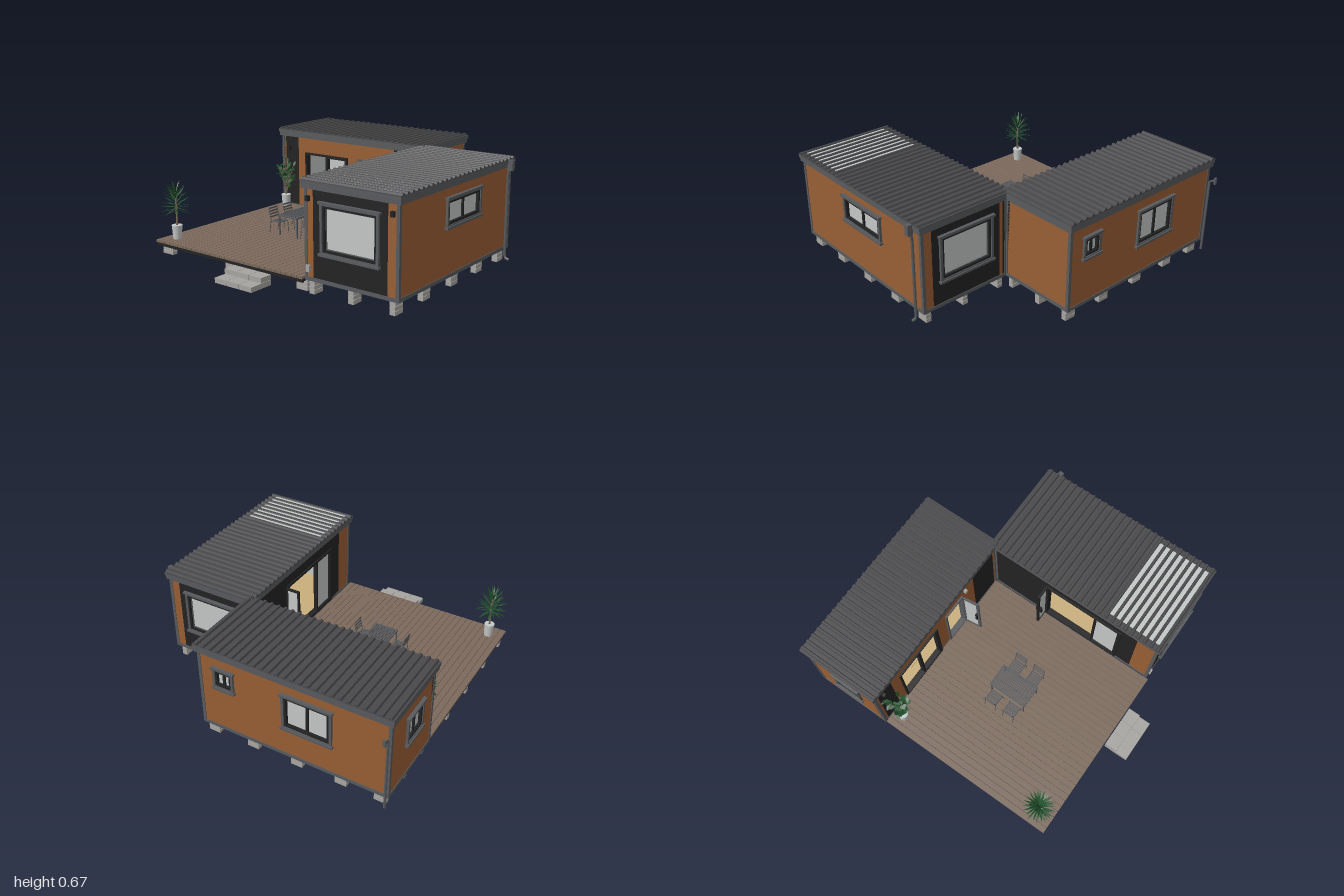
import * as THREE from 'three';

const mat = (name, color, side = THREE.FrontSide) => {
  const m = new THREE.MeshStandardMaterial({ color, side });
  m.name = name;
  return m;
};
const M = {
  cladding: mat('cladding', 0x985e34),
  black: mat('black', 0x232323),
  roof: mat('roofSheet', 0x49494b),
  trim: mat('trim', 0x585a5d),
  light: mat('lightPane', 0xc3c7c5),
  deck: mat('deckWood', 0x7b695b),
  concrete: mat('concrete', 0xa6a4a0),
  green: mat('leaf', 0x21502a, THREE.DoubleSide),
  beige: mat('floor', 0xc9ae7c),
};

function add(parent, name, geo, material, x = 0, y = 0, z = 0) {
  const mesh = new THREE.Mesh(geo, material);
  mesh.name = name;
  mesh.position.set(x, y, z);
  parent.add(mesh);
  return mesh;
}
// Box given by its minimum and maximum on each axis
const box = (p, name, m, x0, x1, y0, y1, z0, z1) =>
  add(p, name, new THREE.BoxGeometry(x1 - x0, y1 - y0, z1 - z0), m, (x0 + x1) / 2, (y0 + y1) / 2, (z0 + z1) / 2);
const group = (p, name, x = 0, y = 0, z = 0, ry = 0) => {
  const g = new THREE.Group();
  g.name = name;
  g.position.set(x, y, z);
  g.rotation.y = ry;
  p.add(g);
  return g;
};
const rect = (C, a, b, c, d) => {
  const s = new C();
  s.moveTo(a, c); s.lineTo(b, c); s.lineTo(b, d); s.lineTo(a, d); s.closePath();
  return s;
};
// Rectangular panel with rectangular holes, between z0 and z1
function panel(p, name, m, [a, b, c, d], holes, z0, z1) {
  const s = rect(THREE.Shape, a, b, c, d);
  holes.forEach(h => s.holes.push(rect(THREE.Path, ...h)));
  return add(p, name, new THREE.ExtrudeGeometry(s, { depth: z1 - z0, bevelEnabled: false }), m, 0, 0, z0);
}
const ring = (p, name, m, [a, b, c, d], t, z0, z1) =>
  panel(p, name, m, [a, b, c, d], [[a + t, b - t, c + t, d - t]], z0, z1);
function tube(p, name, m, pts, r) {
  const path = new THREE.CurvePath();
  const v = pts.map(q => new THREE.Vector3(...q));
  for (let i = 1; i < v.length; i++) path.add(new THREE.LineCurve3(v[i - 1], v[i]));
  return add(p, name, new THREE.TubeGeometry(path, 24, r, 8), m);
}

const Y0 = 0.09, Y1 = 0.61;
// Wall with local x along it and +z outwards; segments are [from, to, material, holes]
function wall(p, name, x, z, ry, segments) {
  const g = group(p, name, x, 0, z, ry);
  segments.forEach(([a, b, m, holes = []]) => panel(g, 'wallPanel', m, [a, b, Y0, Y1], holes, -0.03, 0));
  return g;
}
function windowUnit(p, [a, b, c, d], panes = 1) {
  const g = group(p, 'window');
  ring(g, 'outerTrim', M.trim, [a, b, c, d], 0.016, -0.03, 0.014);
  ring(g, 'innerFrame', M.black, [a + 0.015, b - 0.015, c + 0.015, d - 0.015], 0.015, -0.028, 0.008);
  box(g, 'sill', M.trim, a - 0.008, b + 0.008, c - 0.006, c + 0.008, -0.005, 0.022);
  box(g, 'head', M.trim, a - 0.008, b + 0.008, d - 0.008, d + 0.006, -0.005, 0.022);
  box(g, 'pane', M.light, a + 0.025, b - 0.025, c + 0.025, d - 0.025, -0.018, -0.01);
  if (panes === 1) ring(g, 'paneBead', M.trim, [a + 0.03, b - 0.03, c + 0.03, d - 0.03], 0.005, -0.012, -0.004);
  for (let i = 1; i < panes; i++) {
    const u = a + ((b - a) * i) / panes;
    box(g, 'mullion', M.black, u - 0.008, u + 0.008, c + 0.02, d - 0.02, -0.02, 0);
  }
}
const lamp = (p, u, y) => box(p, 'wallLamp', M.black, u - 0.01, u + 0.01, y - 0.015, y + 0.015, 0, 0.02);

// Corrugated sheet: ribs run along local z, repeat along local x
function corrugated(p, name, length, width, n) {
  const s = new THREE.Shape(), q = length / n;
  s.moveTo(0, 0);
  for (let i = 0; i < n; i++) {
    const u = i * q;
    [[0, 0.005], [0.25, 0.005], [0.36, 0.017], [0.64, 0.017], [0.75, 0.005], [1, 0.005]]
      .forEach(([f, h]) => s.lineTo(u + f * q, h));
  }
  s.lineTo(length, 0);
  const geo = new THREE.ExtrudeGeometry(s, { depth: width, bevelEnabled: false });
  geo.translate(-length / 2, 0, -width / 2);
  return add(p, name, geo, M.roof);
}

// Floor, corner posts, base rail, fascia and ceiling shared by both cabins
function shell(p, x0, x1, z0, z1, under, top) {
  box(p, 'floorUnderside', under, x0, x1, 0.077, 0.088, z0, z1);
  box(p, 'floor', M.beige, x0 + 0.02, x1 - 0.02, 0.088, 0.1, z0 + 0.02, z1 - 0.02);
  const e = 0.004, w = 0.016;
  [[x0, 1], [x1, -1]].forEach(([x, sx]) => [[z0, 1], [z1, -1]].forEach(([z, sz]) => {
    const xs = [x - sx * e, x + sx * w].sort((a, b) => a - b), zs = [z - sz * e, z + sz * w].sort((a, b) => a - b);
    box(p, 'cornerPost', M.trim, ...xs, 0.08, Y1, ...zs);
  }));
  [[x0 - e, x1 + e, z0 - e, z0 + 0.01], [x0 - e, x1 + e, z1 - 0.01, z1 + e],
    [x0 - e, x0 + 0.01, z0, z1], [x1 - 0.01, x1 + e, z0, z1]].forEach(([a, b, c, d]) => box(p, 'baseRail', M.trim, a, b, 0.078, 0.1, c, d));
  box(p, 'fascia', M.trim, x0 - 0.016, x1 + 0.016, 0.605, top - 0.025, z0 - 0.016, z1 + 0.016);
  box(p, 'roofEdge', M.trim, x0 - 0.021, x1 + 0.021, top - 0.036, top - 0.014, z0 - 0.021, z1 + 0.021);
  box(p, 'ceiling', M.light, x0 + 0.03, x1 - 0.03, 0.595, 0.604, z0 + 0.03, z1 - 0.03);
}

function backCabin(root) {
  const g = group(root, 'backCabin'), x0 = -0.94, x1 = 0.29, z0 = -0.93, z1 = -0.41;
  shell(g, x0, x1, z0, z1, M.concrete, 0.669);
  corrugated(g, 'backRoof', 1.272, 0.562, 26).position.set(-0.325, 0.652, -0.67);
  const slider = [-0.72, -0.34, 0.1, 0.5], door = [-0.25, -0.07, 0.1, 0.505];
  const f = wall(g, 'frontWall', 0, z1, 0, [[x0, -0.79, M.black], [-0.79, 0.05, M.cladding, [slider, door]], [0.05, x1, M.black]]);
  ring(f, 'sliderFrame', M.black, slider, 0.014, -0.03, 0.012);
  ring(f, 'slidingLeaf', M.black, [-0.535, -0.345, 0.105, 0.495], 0.018, -0.02, 0.008);
  box(f, 'handle', M.beige, -0.6, -0.545, 0.325, 0.333, -0.03, -0.02);
  ring(f, 'doorFrame', M.trim, door, 0.012, -0.03, 0.012);
  // Door leaf standing open
  const leaf = group(f, 'openDoor', -0.075, 0, 0, -Math.PI / 2 + 0.12);
  ring(leaf, 'leafFrame', M.trim, [0, 0.125, 0.105, 0.495], 0.018, -0.006, 0.006);
  box(leaf, 'leafPane', M.light, 0.015, 0.11, 0.12, 0.48, -0.002, 0.002);
  box(leaf, 'leafHandle', M.black, 0.1, 0.112, 0.26, 0.34, -0.018, 0.018);
  lamp(f, -0.87, 0.52);
  box(f, 'doorLight', M.concrete, -0.05, -0.03, 0.515, 0.545, 0, 0.02);
  const small = [-0.19, -0.05, 0.39, 0.53], large = [0.27, 0.59, 0.29, 0.53], side = [-0.75, -0.55, 0.32, 0.51];
  const b = wall(g, 'rearWall', 0, z0, Math.PI, [[-x1, -x0, M.cladding, [small, large]]]);
  windowUnit(b, small, 2);
  windowUnit(b, large, 2);
  windowUnit(wall(g, 'leftEndWall', x0, 0, -Math.PI / 2, [[z0, z1, M.cladding, [side]]]), side, 2);
  wall(g, 'rightEndWall', x1, 0, Math.PI / 2, [[-z1, -z0, M.cladding]]);
  // Inner lining
  box(g, 'lining', M.light, x0 + 0.03, x1 - 0.03, 0.1, 0.6, z0 + 0.032, z0 + 0.04);
  [x0 + 0.032, x1 - 0.04, -0.3].forEach(x => box(g, 'lining', M.light, x, x + 0.008, 0.1, 0.6, z0 + 0.03, z1 - 0.03));
  tube(g, 'downpipe', M.trim, [[-0.93, 0.53, -0.99], [-0.93, 0.51, -0.95], [-0.93, 0.02, -0.95]], 0.008);
  box(g, 'pipeHead', M.trim, -0.938, -0.922, 0.505, 0.55, -0.998, -0.986);
}

function sideCabin(root) {
  const g = group(root, 'sideCabin'), x0 = 0.29, x1 = 0.91, z0 = -0.41, z1 = 0.81;
  shell(g, x0, x1, z0, z1, M.beige, 0.664);
  const r = corrugated(g, 'sideRoof', 1.262, 0.662, 27);
  r.position.set(0.6, 0.647, 0.2);
  r.rotation.y = Math.PI / 2;
  // Skylight strips in the pans
  const q = 1.262 / 27;
  for (let i = 0; i < 8; i++) {
    const z = 0.831 - q * (i + 1);
    box(r.parent, 'skylightStrip', M.light, 0.31, 0.89, 0.65, 0.656, z - q * 0.29, z + q * 0.29);
  }
  const ends = [0.40, 0.79, 0.245, 0.54];
  const f = wall(g, 'frontWall', 0, z1, 0, [[x0, 0.345, M.cladding], [0.345, 0.84, M.black, [ends]], [0.84, x1, M.cladding]]);
  windowUnit(f, ends);
  lamp(f, 0.315, 0.55);
  lamp(f, 0.875, 0.55);
  box(f, 'socket', M.concrete, 0.3, 0.326, 0.13, 0.17, 0, 0.015);
  const rear = [-0.79, -0.40, 0.245, 0.54];
  windowUnit(wall(g, 'rearWall', 0, z0, Math.PI, [[-x1, -0.84, M.cladding], [-0.84, -0.345, M.black, [rear]], [-0.345, -x0, M.cladding]]), rear);
  const east = [-0.355, 0.03, 0.375, 0.545];
  windowUnit(wall(g, 'outerWall', x1, 0, Math.PI / 2, [[-z1, -z0, M.cladding, [east]]]), east, 2);
  const open = [0, 0.56, 0.1, 0.52];
  const w = wall(g, 'deckWall', x0, 0, -Math.PI / 2, [[z0, 0.67, M.black, [open]], [0.67, z1, M.cladding]]);
  ring(w, 'openingFrame', M.black, open, 0.016, -0.03, 0.01);
  ring(w, 'fixedLeaf', M.black, [0.36, 0.55, 0.105, 0.515], 0.016, -0.02, 0.006);
  box(w, 'fixedPane', M.light, 0.37, 0.54, 0.115, 0.505, -0.012, -0.006);
  // Folded door leaf standing out over the deck
  ring(g, 'foldedLeaf', M.black, [0.195, 0.29, 0.1, 0.505], 0.012, -0.012, 0.004);
  box(g, 'foldedPane', M.light, 0.205, 0.28, 0.11, 0.495, -0.008, 0);
  box(g, 'foldedHandle', M.black, 0.2, 0.212, 0.27, 0.34, -0.022, 0.022);
  // Inner lining
  box(g, 'lining', M.light, x1 - 0.04, x1 - 0.032, 0.1, 0.6, z0 + 0.03, z1 - 0.03);
  [z0 + 0.032, z1 - 0.04].forEach(z => box(g, 'lining', M.light, x0 + 0.03, x1 - 0.03, 0.1, 0.6, z, z + 0.008));
  tube(g, 'downpipe', M.trim, [[0.935, 0.6, -0.35], [0.925, 0.55, -0.35], [0.925, 0.03, -0.35], [0.955, 0.02, -0.35]], 0.009);
  box(g, 'pipeHead', M.trim, 0.925, 0.96, 0.585, 0.65, -0.365, -0.335);
}

function deckAndBase(root) {
  const d = group(root, 'deck'), n = 30, w = 1.22 / n;
  box(d, 'deckFrame', M.black, -0.935, 0.275, 0.065, 0.084, -0.405, 0.825);
  for (let i = 0; i < n; i++) box(d, 'deckBoard', M.deck, -0.94 + i * w, -0.94 + (i + 1) * w - 0.0025, 0.08, 0.095, -0.41, 0.83);
  for (let i = 0; i < 5; i++) box(d, 'joist', M.black, -0.935, 0.275, 0.058, 0.066, -0.39 + i * 0.3, -0.378 + i * 0.3);
  const rows = [0.77, 0.5, 0.2, -0.09, -0.36];
  const pier = (x, z, sx, sz) => {
    for (let k = 0; k < 3; k++) box(root, 'pierBlock', M.concrete, x - sx / 2, x + sx / 2, k * 0.026, k * 0.026 + 0.0235, z - sz / 2, z + sz / 2);
  };
  rows.forEach(z => [0.33, 0.6, 0.87].forEach(x => pier(x, z, 0.036, 0.074)));
  [-0.44, -0.67, -0.89].forEach(z => [-0.88, -0.63, -0.34, -0.04, 0.24].forEach(x => pier(x, z, 0.076, 0.034)));
  rows.slice(0, 4).forEach(z => [[-0.88, 0.09], [-0.3, 0.13], [0.24, 0.08]].forEach(([x, s]) => pier(x, z, s, 0.036)));
  // Steps of paving blocks
  for (let i = 0; i < 3; i++) {
    const x = -0.24 + i * 0.097;
    box(root, 'lowerStep', M.concrete, x, x + 0.0945, 0, 0.031, 0.835, 1);
    box(root, 'upperStep', M.concrete, x, x + 0.0945, 0.033, 0.064, 0.835, 0.918);
  }
}

function furniture(root) {
  const t = group(root, 'table', -0.3, 0.095, 0.155);
  for (let i = 0; i < 9; i++) box(t, 'slat', M.trim, -0.064 + i * 0.0148, -0.064 + i * 0.0148 + 0.01, 0.132, 0.138, -0.13, 0.13);
  [-0.13, 0.13].forEach(z => box(t, 'endRail', M.trim, -0.08, 0.08, 0.13, 0.139, z - 0.006, z + 0.006));
  [-0.074, 0.074].forEach(x => {
    box(t, 'sideRail', M.trim, x - 0.006, x + 0.006, 0.13, 0.139, -0.13, 0.13);
    [-0.125, 0.125].forEach(z => box(t, 'tableLeg', M.trim, x - 0.004, x + 0.004, 0, 0.132, z - 0.004, z + 0.004));
  });
  [[-0.43, 0], [-0.16, Math.PI]].forEach(([x, ry]) => [0.085, 0.225].forEach(z => {
    const c = group(root, 'chair', x, 0.095, z, ry);
    for (let i = 0; i < 5; i++) box(c, 'seatSlat', M.trim, -0.03 + i * 0.016, -0.019 + i * 0.016, 0.077, 0.081, -0.04, 0.04);
    [-0.04, 0.04].forEach(s => {
      tube(c, 'backLeg', M.trim, [[-0.045, 0, s], [-0.032, 0.08, s], [-0.05, 0.165, s]], 0.0028);
      tube(c, 'frontLeg', M.trim, [[0.05, 0, s], [0.042, 0.079, s], [-0.032, 0.079, s]], 0.0028);
    });
    for (let i = 0; i < 4; i++) box(c, 'backSlat', M.trim, -0.038 - i * 0.004, -0.035 - i * 0.004, 0.1 + i * 0.018, 0.11 + i * 0.018, -0.04, 0.04);
  }));
}

function plants(root) {
  let seed = 7;
  const rnd = () => (seed = (seed * 16807) % 2147483647) / 2147483647;
  const leafGeo = (len, wid) => {
    const s = new THREE.Shape();
    s.moveTo(0, 0); s.quadraticCurveTo(wid, len * 0.45, 0, len); s.quadraticCurveTo(-wid, len * 0.45, 0, 0);
    return new THREE.ShapeGeometry(s, 4);
  };
  const pot = g => add(g, 'pot', new THREE.CylinderGeometry(0.034, 0.027, 0.09, 20), M.light, 0, 0.045, 0);
  const leaf = (g, geo, x, y, z, yaw, tilt) => {
    const m = add(g, 'leaf', geo, M.green, x, y, z);
    m.rotation.set(tilt, yaw, 0, 'YXZ');
  };
  // Spiky plant at the front corner
  const a = group(root, 'spikyPlant', -0.85, 0.095, 0.73), spike = leafGeo(0.105, 0.011);
  pot(a);
  tube(a, 'stem', M.deck, [[0, 0.08, 0], [0.003, 0.2, 0], [0, 0.3, 0]], 0.006);
  for (let i = 0; i < 54; i++) leaf(a, spike, 0, 0.19 + 0.1 * (i / 54), 0, i * 2.4, 1.75 - 1.5 * (i / 54) + rnd() * 0.2);
  // Leafy plant by the wall
  const b = group(root, 'leafyPlant', -0.85, 0.095, -0.33), broad = leafGeo(0.045, 0.026);
  pot(b);
  for (let i = 0; i < 9; i++) {
    const t = i * 2.4, r = 0.025 + rnd() * 0.045, h = 0.19 + rnd() * 0.15;
    const x = Math.cos(t) * r, z = Math.sin(t) * r;
    tube(b, 'branch', M.deck, [[0, 0.08, 0], [x * 0.3, h * 0.6, z * 0.3], [x, h, z]], 0.003);
    for (let k = 0; k < 7; k++) leaf(b, broad, x * (1 - k * 0.06), h - k * 0.012, z * (1 - k * 0.06), rnd() * 6.28, 0.5 + rnd() * 1.4);
  }
}

export function createModel() {
  const root = new THREE.Group();
  root.name = 'cabinHouse';
  backCabin(root);
  sideCabin(root);
  deckAndBase(root);
  furniture(root);
  plants(root);
  return root;
}
